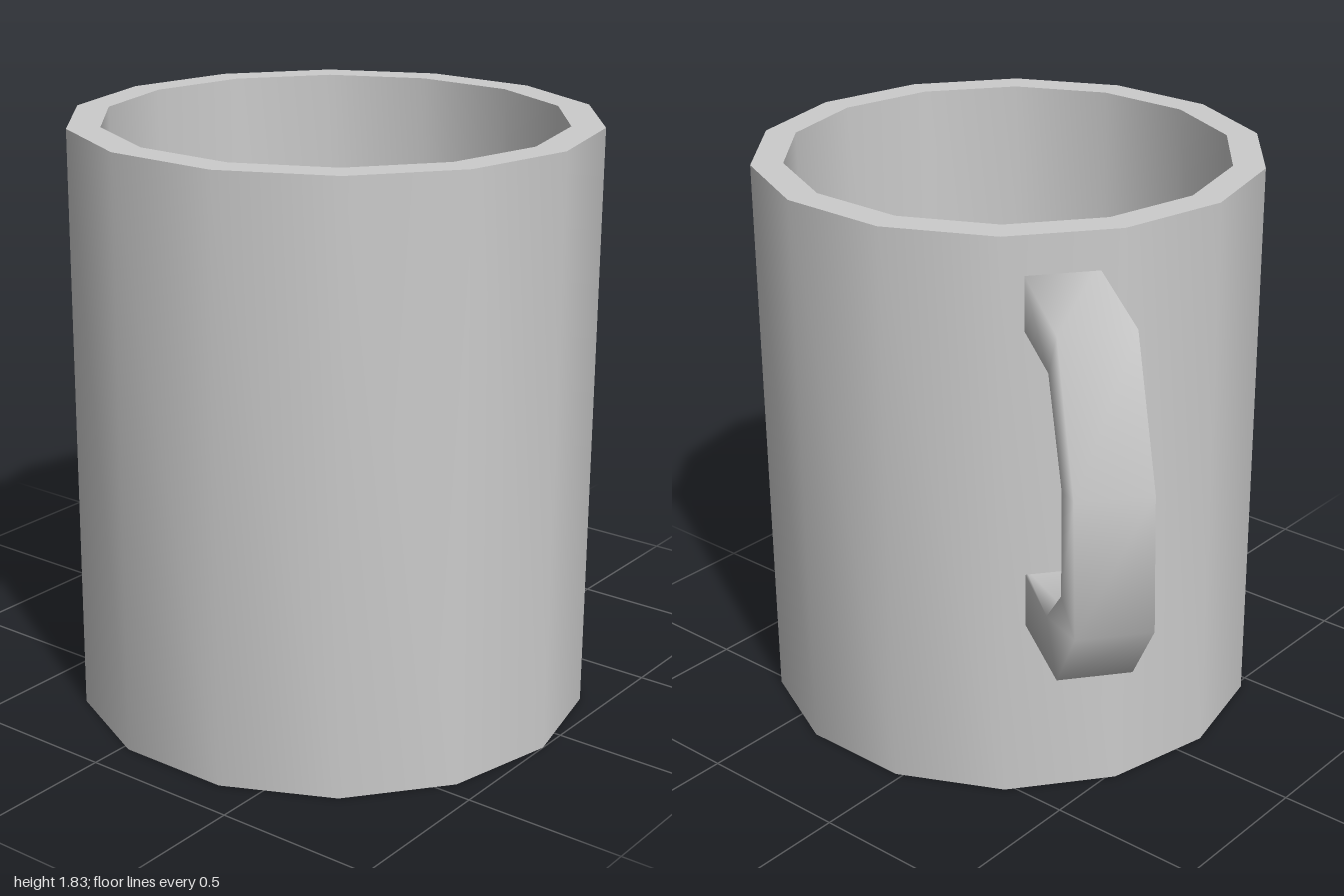
import * as THREE from 'three';
import { toCreasedNormals } from 'three/addons/utils/BufferGeometryUtils.js';

const SIDES = 14;
const material = new THREE.MeshStandardMaterial({ color: 0xcccccc });

// Hollow body: underside, outer wall, rim, inner wall, inner floor
function createBody() {
  const profile = [[0, 0], [0.8, 0], [0.8, 1.83], [0.7, 1.83], [0.7, 0.1], [0, 0.1]]
    .map(([r, y]) => new THREE.Vector2(r, y));
  const lathe = new THREE.LatheGeometry(profile, SIDES, Math.PI / 2);
  const body = new THREE.Mesh(toCreasedNormals(lathe, 0.7), material);
  body.name = 'cupBody';
  return body;
}

// Handle: six-sided sections swept from the upper to the lower joint.
// Each row holds the outer, side and inner points as [radius, height].
function createHandle() {
  const rows = [
    [[0.74, 1.71], [0.74, 1.54], [0.74, 1.54]],
    [[1.204, 1.7], [1.10, 1.55], [1.046, 1.55]],
    [[1.421, 1.32], [1.275, 1.28], [1.215, 1.27]],
    [[1.447, 0.92], [1.275, 0.96], [1.215, 0.97]],
    [[1.223, 0.66], [1.085, 0.79], [1.02, 0.785]],
    [[0.74, 0.58], [0.74, 0.755], [0.74, 0.755]],
  ];
  const wide = 0.11;
  const positions = [];
  rows.forEach(([outer, side, inner], i) => {
    // the inner face is narrow on the grip and full width at the joints
    const narrow = i === 0 || i === rows.length - 1 ? 0.1 : 0.055;
    positions.push(
      ...outer, wide, ...outer, -wide, ...side, -wide,
      ...inner, -narrow, ...inner, narrow, ...side, wide,
    );
  });

  const n = 6;
  const index = [];
  for (let i = 0; i < rows.length - 1; i++) {
    for (let k = 0; k < n; k++) {
      const a = i * n + k;
      const b = i * n + ((k + 1) % n);
      index.push(a, a + n, b, b, a + n, b + n);
    }
  }
  const geometry = new THREE.BufferGeometry();
  geometry.setAttribute('position', new THREE.Float32BufferAttribute(positions, 3));
  geometry.setIndex(index);
  geometry.computeVertexNormals();

  const handle = new THREE.Mesh(geometry, material);
  handle.name = 'handle';
  // points out through the middle of one wall facet, to the back right
  handle.rotation.y = Math.PI - (1.5 * 2 * Math.PI) / SIDES;
  return handle;
}

export function createModel() {
  const model = new THREE.Group();
  model.name = 'mug';
  const cup = new THREE.Group();
  cup.name = 'cupWithHandle';
  cup.position.set(0.2, 0, 0.1);
  cup.add(createBody(), createHandle());
  model.add(cup);
  return model;
}
